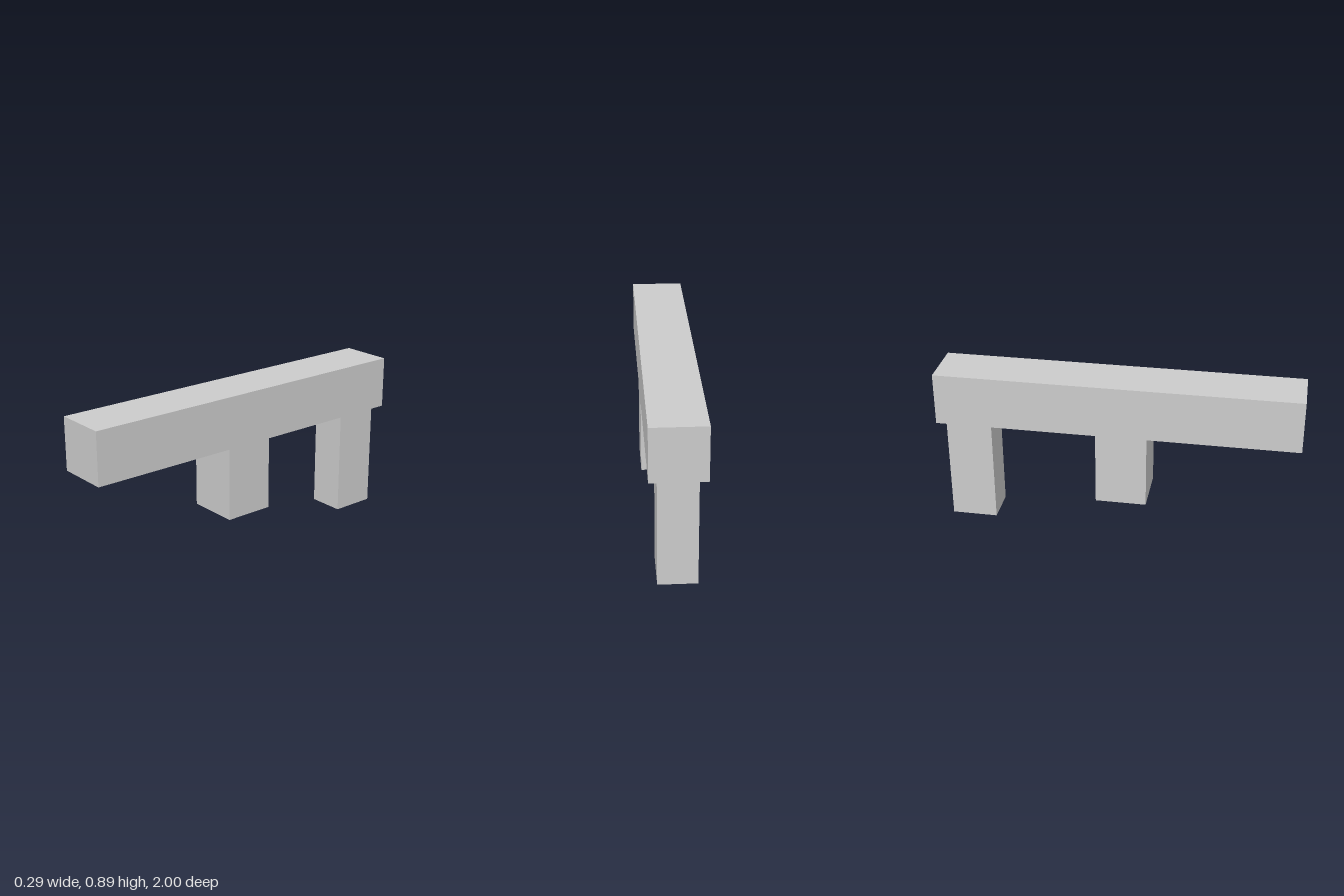
import * as THREE from 'three';

export function createModel() {
  const group = new THREE.Group();
  const material = new THREE.MeshStandardMaterial({ color: 0xcccccc, flatShading: true });

  // Long beam with the flush middle block, one T-shaped side profile (z, y) extruded across x
  const width = 0.292;
  const bottom = 0.603, top = 0.895, blockBottom = 0.193;
  const profile = new THREE.Shape([
    [-1, bottom], [-0.109, bottom], [-0.109, blockBottom], [0.172, blockBottom],
    [0.172, bottom], [1, bottom], [1, top], [-1, top],
  ].map(([z, y]) => new THREE.Vector2(z, y)));
  const bodyGeometry = new THREE.ExtrudeGeometry(profile, { depth: width, bevelEnabled: false });
  bodyGeometry.translate(0, 0, -width / 2).rotateY(-Math.PI / 2);
  const body = new THREE.Mesh(bodyGeometry, material);
  body.name = 'beamWithMiddleBlock';
  group.add(body);

  // Narrower post under the back end, reaching the ground
  const post = new THREE.Mesh(new THREE.BoxGeometry(0.206, bottom, 0.254), material);
  post.position.set(0, bottom / 2, -0.828);
  post.name = 'backPost';
  group.add(post);

  return group;
}
